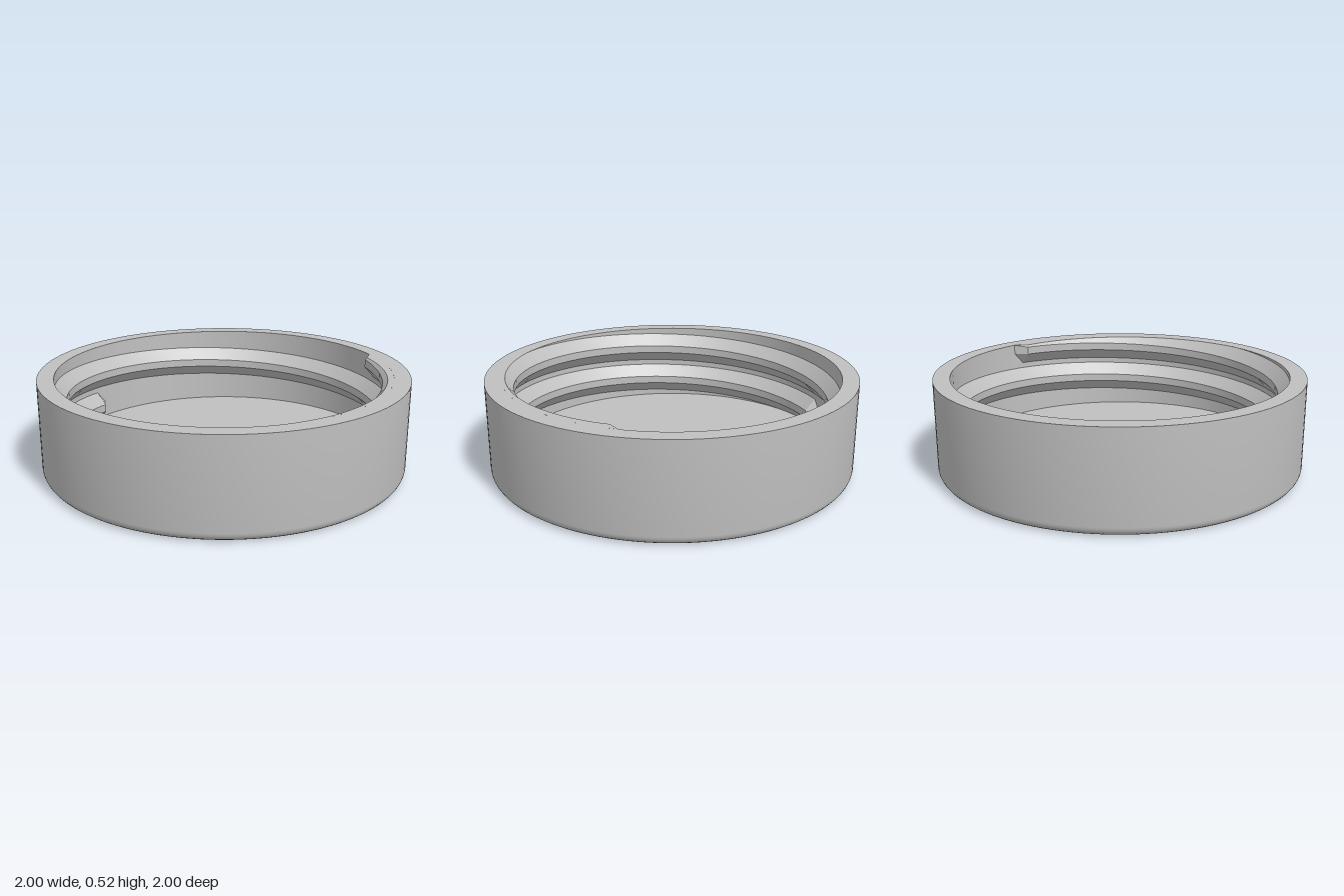
import * as THREE from 'three';
import { toCreasedNormals } from 'three/addons/utils/BufferGeometryUtils.js';

const HEIGHT = 0.525, FLOOR = 0.08, INNER = 0.91, CREST = 0.85, FILLET = 0.05;
const DEG = Math.PI / 180;

// Round cup: filleted bottom, straight wall, flat rim and recessed floor
function shellGeometry() {
  const profile = [new THREE.Vector2(0, 0)];
  for (let i = 0; i <= 6; i++) {
    const a = (i / 6) * Math.PI / 2;
    profile.push(new THREE.Vector2(1 - FILLET + FILLET * Math.sin(a), FILLET - FILLET * Math.cos(a)));
  }
  profile.push(
    new THREE.Vector2(1, HEIGHT),
    new THREE.Vector2(INNER, HEIGHT),
    new THREE.Vector2(INNER, FLOOR),
    new THREE.Vector2(0, FLOOR)
  );
  return toCreasedNormals(new THREE.LatheGeometry(profile, 128), 0.5);
}

// Helical ridge of trapezoid section, trimmed flush with the rim, tapered at both ends
function threadGeometry() {
  const start = -33.3, end = 564, pitch = 0.205, taper = 3.8;
  const baseHalf = 0.087, crestHalf = 0.022;
  const angles = [start];
  const steps = 210;
  for (let i = 0; i <= steps; i++) {
    angles.push(start + taper + (end - start - 2 * taper) * i / steps);
  }
  angles.push(end);

  const positions = [], indices = [];
  angles.forEach((deg, i) => {
    const tip = i === 0 || i === angles.length - 1;
    const y = 0.449 - pitch * (deg - 45) / 360;
    const crest = tip ? INNER : CREST;
    const base = tip ? crestHalf + 0.01 : baseHalf;
    const top = Math.min(y + base, HEIGHT);
    const slope = (top - y - crestHalf) / (base - crestHalf);
    const section = [
      [INNER, y - base],
      [crest, y - crestHalf],
      [crest, y + crestHalf],
      [crest + (INNER - crest) * slope, top],
      [INNER, top]
    ];
    for (const [r, h] of section) {
      positions.push(r * Math.cos(deg * DEG), h, r * Math.sin(deg * DEG));
    }
    if (i === 0) return;
    for (let j = 0; j < 4; j++) {
      const a = (i - 1) * 5 + j, b = a + 5;
      indices.push(a, b, a + 1, b, b + 1, a + 1);
    }
  });
  const geometry = new THREE.BufferGeometry();
  geometry.setAttribute('position', new THREE.Float32BufferAttribute(positions, 3));
  geometry.setIndex(indices);
  return toCreasedNormals(geometry, 0.4);
}

export function createModel() {
  const grey = new THREE.MeshStandardMaterial({ color: 0xc0c0c0 });
  grey.name = 'light grey';

  const model = new THREE.Group();
  model.name = 'screwCap';
  const parts = { capShell: shellGeometry(), screwThread: threadGeometry() };
  for (const [name, geometry] of Object.entries(parts)) {
    const mesh = new THREE.Mesh(geometry, grey);
    mesh.name = name;
    model.add(mesh);
  }
  return model;
}
